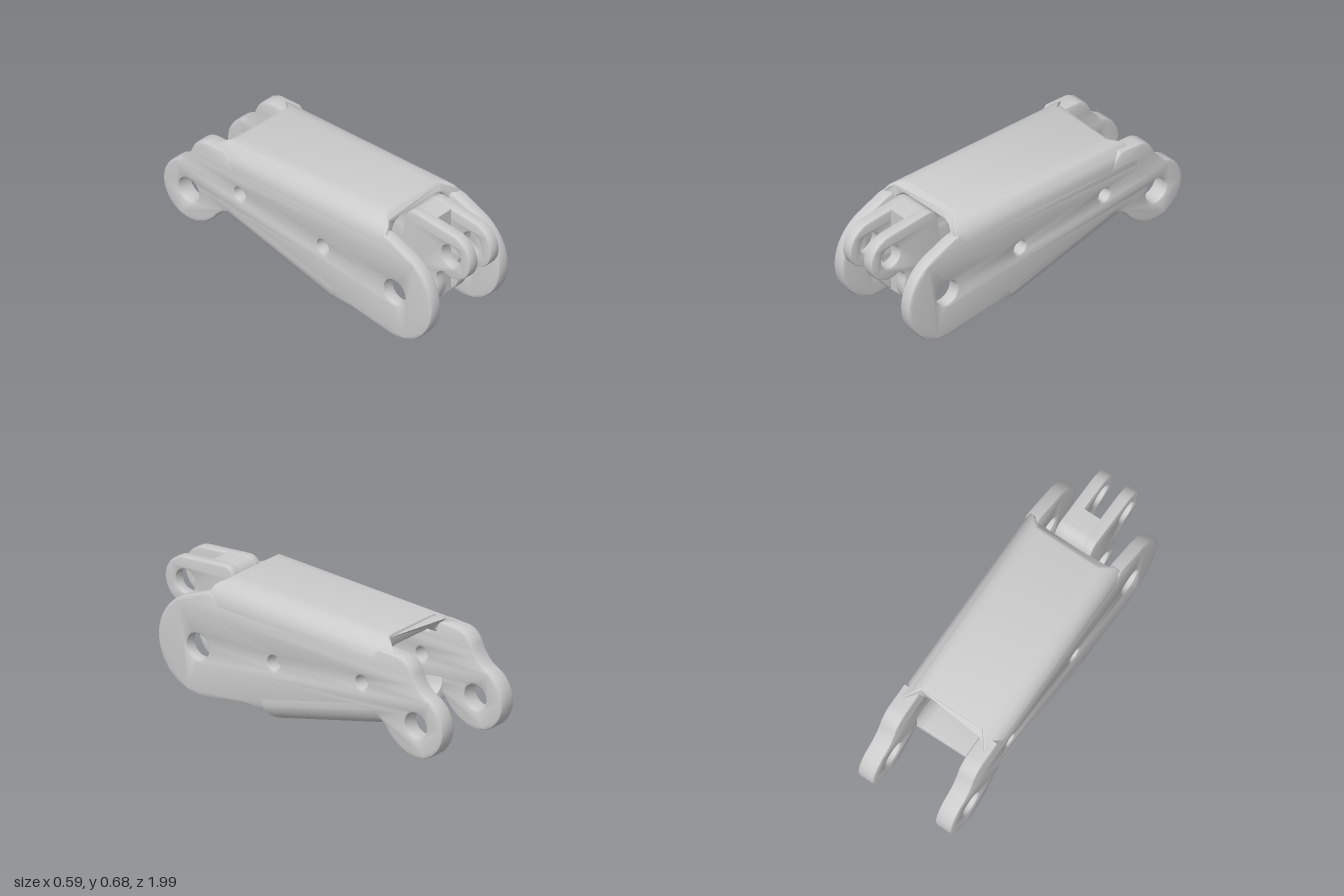
import * as THREE from 'three';
import { toCreasedNormals } from 'three/addons/utils/BufferGeometryUtils.js';

const grey = new THREE.MeshStandardMaterial({ color: 0xcccccc });
const rad = THREE.MathUtils.degToRad;
const { lerp, clamp } = THREE.MathUtils;

// Extrude a shape by a total depth, centred, with bevels kept inside the outline
function slab(shape, depth, bevel, curveSegments = 10) {
  const g = new THREE.ExtrudeGeometry(shape, {
    depth: depth - 2 * bevel, bevelEnabled: bevel > 0, bevelThickness: bevel,
    bevelSize: bevel, bevelOffset: -bevel, bevelSegments: 2, curveSegments,
  });
  return g.translate(0, 0, -(depth - 2 * bevel) / 2);
}

// Side profiles are drawn as (z, y) and extruded along x
const sideSlab = (shape, depth, bevel, x) =>
  slab(shape, depth, bevel).rotateY(-Math.PI / 2).translate(x, 0, 0);

// Move every vertex by a rule
function reshape(g, rule) {
  const p = g.attributes.position, v = new THREE.Vector3();
  for (let i = 0; i < p.count; i++) {
    rule(v.fromBufferAttribute(p, i));
    p.setXYZ(i, v.x, v.y, v.z);
  }
  return g;
}

function mesh(name, g, crease = 0.6) {
  const m = new THREE.Mesh(toCreasedNormals(g, crease), grey);
  m.name = name;
  return m;
}

function addHole(shape, z, y, r) {
  const hole = new THREE.Path();
  hole.absarc(z, y, r, 0, Math.PI * 2, true);
  shape.holes.push(hole);
}

// Side plate: big round front lobe, slim middle, round rear eye
function plateShape() {
  const s = new THREE.Shape();
  s.moveTo(0.1, 0.085);
  s.lineTo(0.22, 0.052);
  s.lineTo(0.33, 0.052);
  s.absarc(0.623, 0.29, 0.277, rad(-97), rad(65), false);
  s.lineTo(0.59, 0.6);
  s.lineTo(0.55, 0.605);
  s.lineTo(0.49, 0.56);
  s.lineTo(-0.5, 0.525);
  s.lineTo(-0.57, 0.595);
  s.lineTo(-0.7, 0.588);
  s.quadraticCurveTo(-0.76, 0.58, -0.79, 0.52);
  s.quadraticCurveTo(-0.82, 0.44, -0.877, 0.404);
  s.absarc(-0.815, 0.235, 0.18, rad(112), rad(298), false);
  s.quadraticCurveTo(-0.66, 0.11, -0.62, 0.17);
  s.quadraticCurveTo(-0.57, 0.23, -0.5, 0.235);
  s.closePath();
  addHole(s, 0.635, 0.285, 0.072);
  addHole(s, 0.13, 0.33, 0.04);
  addHole(s, -0.455, 0.38, 0.038);
  addHole(s, -0.815, 0.235, 0.07);
  return s;
}

function sidePlate(side, name) {
  const mid = 0.2555;
  const g = sideSlab(plateShape(), 0.075, 0.016, side * mid);
  // The inner face thickens toward the rear
  reshape(g, v => {
    if (Math.abs(v.x) < mid) v.x -= side * 0.028 * clamp((0.55 - v.z) / 1.15, 0, 1);
  });
  return mesh(name, g);
}

// Roof: arched cross-section, sloping gently down to the rear
function roof() {
  const s = new THREE.Shape();
  s.moveTo(0.293, 0.5);
  s.lineTo(0.293, 0.55);
  s.bezierCurveTo(0.293, 0.62, 0.24, 0.685, 0.15, 0.685);
  s.lineTo(-0.15, 0.685);
  s.bezierCurveTo(-0.24, 0.685, -0.293, 0.62, -0.293, 0.55);
  s.lineTo(-0.293, 0.5);
  s.lineTo(-0.245, 0.5);
  s.lineTo(-0.215, 0.55);
  s.quadraticCurveTo(-0.19, 0.635, -0.13, 0.635);
  s.lineTo(0.13, 0.635);
  s.quadraticCurveTo(0.19, 0.635, 0.215, 0.55);
  s.lineTo(0.245, 0.5);
  s.closePath();
  const g = reshape(slab(s, 1, 0.012, 6), v => {
    const out = Math.max(0, Math.abs(v.x) - 0.19);
    const front = 0.535 - 0.035 * clamp((v.y - 0.64) / 0.04, 0, 1) + out * 0.4;
    const rear = -0.56 - out * 1.3;
    const inner = Math.abs(v.x) < 0.2 && v.y < 0.655 ? 0.025 : 0;
    const t = v.z + 0.5;
    v.z = lerp(rear, front, t);
    v.y += 0.039 * (Math.min(v.z, 0.5) - 0.5) - inner * (1 - t);
  });
  return mesh('roof', g);
}

// Floor: shallow trough rising to the rear
function floor() {
  const s = new THREE.Shape();
  s.moveTo(0.25, 0.13);
  s.lineTo(0.195, 0.13);
  s.quadraticCurveTo(0.185, 0.04, 0.11, 0.04);
  s.lineTo(-0.11, 0.04);
  s.quadraticCurveTo(-0.185, 0.04, -0.195, 0.13);
  s.lineTo(-0.25, 0.13);
  s.lineTo(-0.293, 0.13);
  s.lineTo(-0.293, 0.095);
  s.quadraticCurveTo(-0.27, 0.01, -0.2, 0);
  s.lineTo(0.2, 0);
  s.quadraticCurveTo(0.27, 0.01, 0.293, 0.095);
  s.lineTo(0.293, 0.13);
  s.closePath();
  const g = reshape(slab(s, 1, 0.012, 6), v => {
    const out = Math.max(0, Math.abs(v.x) - 0.19);
    v.z = lerp(-0.6, 0.11 + out, v.z + 0.5);
    v.y += 0.027 - 0.236 * v.z;
  });
  return mesh('floor', g);
}

// Link cheek: lower pivot eye joined to the raised front eye
function cheekShape() {
  const s = new THREE.Shape();
  s.moveTo(0.495, 0.285);
  s.absarc(0.635, 0.285, 0.14, Math.PI, rad(382), false);
  s.quadraticCurveTo(0.755, 0.39, 0.81, 0.407);
  s.absarc(0.865, 0.53, 0.135, rad(-105), rad(85), false);
  s.lineTo(0.61, 0.685);
  s.quadraticCurveTo(0.555, 0.685, 0.54, 0.62);
  s.closePath();
  addHole(s, 0.635, 0.285, 0.072);
  addHole(s, 0.865, 0.53, 0.066);
  return s;
}

// Link web: the same body cut off flat at the bottom of the fork slot
function webShape() {
  const s = new THREE.Shape();
  s.moveTo(0.495, 0.285);
  s.absarc(0.635, 0.285, 0.14, Math.PI, rad(307.4), false);
  s.lineTo(0.72, 0.676);
  s.lineTo(0.61, 0.685);
  s.quadraticCurveTo(0.555, 0.685, 0.54, 0.62);
  s.closePath();
  addHole(s, 0.635, 0.285, 0.072);
  return s;
}

function forkLink() {
  const link = new THREE.Group();
  link.name = 'forkLink';
  for (const side of [1, -1]) {
    link.add(mesh(side > 0 ? 'leftCheek' : 'rightCheek',
      sideSlab(cheekShape(), 0.064, 0.009, side * 0.08)));
  }
  link.add(mesh('web', sideSlab(webShape(), 0.124, 0, 0)));
  return link;
}

export function createModel() {
  const model = new THREE.Group();
  model.name = 'linkHousing';
  model.add(sidePlate(1, 'leftPlate'), sidePlate(-1, 'rightPlate'), roof(), floor(), forkLink());
  return model;
}
